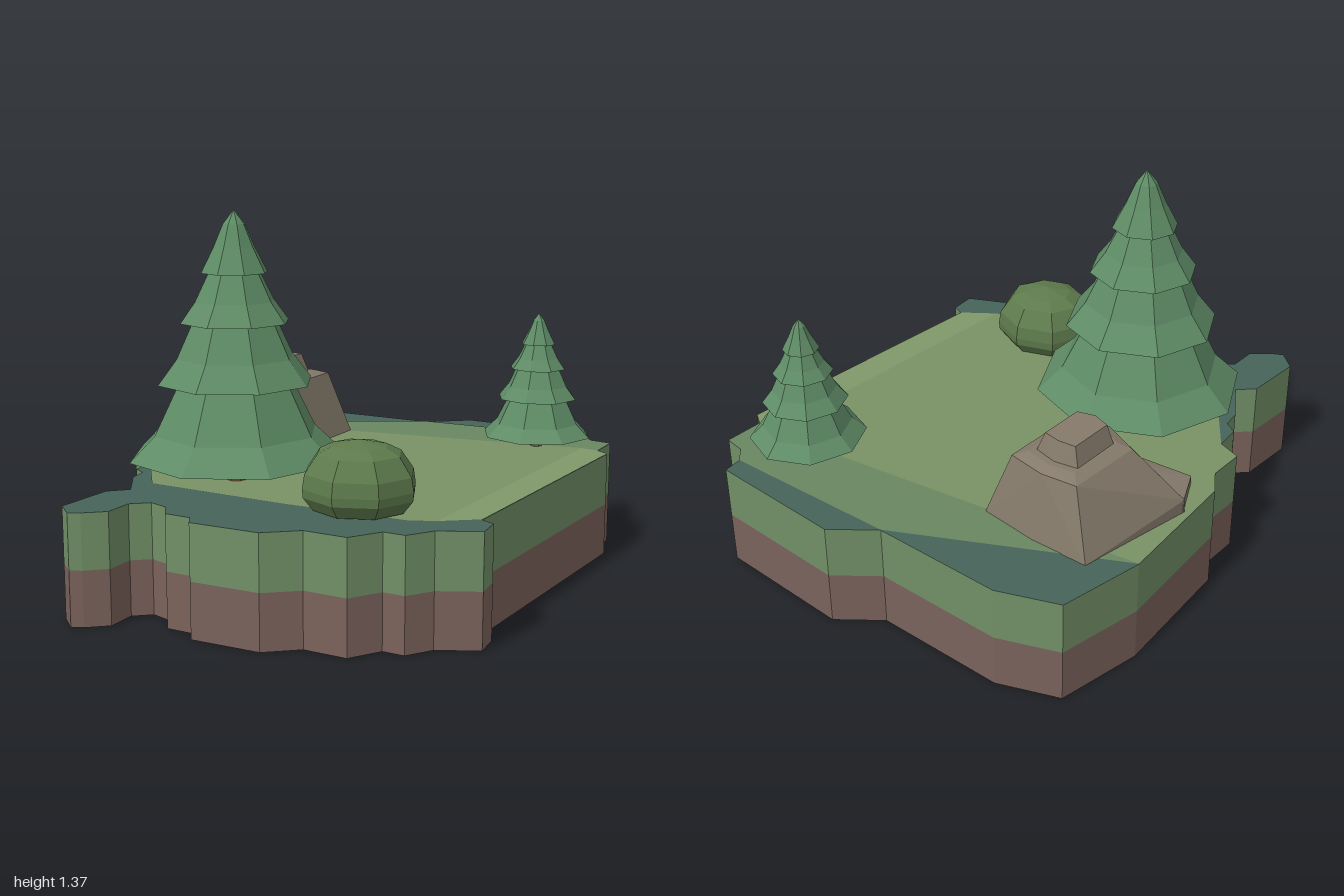
import * as THREE from 'three';
import { ConvexGeometry } from 'three/addons/geometries/ConvexGeometry.js';

const mat = (color) => new THREE.MeshStandardMaterial({ color, flatShading: true });
const soil = mat(0x7a625b), grass = mat(0x718f66), teal = mat(0x46645a);
const meadowLight = mat(0x7a9265), meadowMid = mat(0x6a8660), meadowEdge = mat(0x7f986a);
const needles = mat(0x5f8c66), bark = mat(0x80583c), leaf = mat(0x5d7a4c), stone = mat(0x857a6b);

// Flat outlines are given as [x, z] pairs seen from above
const plan = (pts) => new THREE.Shape(pts.map(([x, z]) => new THREE.Vector2(x, -z)));

const coast = [
  [-.77, -.78], [-.55, -.87], [-.05, -.88], [.1, -1], [.63, -.99], [.64, -.92], [.69, -.87], [.77, -.86],
  [.77, -.71], [.82, -.68], [.77, .41], [.82, .43], [.83, .53], [.69, .6], [.63, .69], [.55, .69],
  [.48, .8], [.32, .8], [.21, .89], [-.05, .9], [-.08, .85], [-.18, .85], [-.23, .78], [-.3, .76],
  [-.36, .81], [-.36, .92], [-.43, .98], [-.47, 1], [-.54, .94], [-.53, .71], [-.47, .65], [-.57, .5],
  [-.58, .43], [-.63, .4], [-.64, .3], [-.73, .27], [-.73, .13], [-.79, .04], [-.83, -.46],
];

function add(parent, name, geometry, material) {
  const mesh = new THREE.Mesh(geometry, material);
  mesh.name = name;
  parent.add(mesh);
  return mesh;
}

function layer(parent, name, y, materials) {
  const geo = new THREE.ExtrudeGeometry(plan(coast), { depth: .2, bevelEnabled: false });
  geo.rotateX(-Math.PI / 2);
  add(parent, name, geo, materials).position.y = y;
}

function patch(parent, name, pts, material) {
  add(parent, name, new THREE.ShapeGeometry(plan(pts)).rotateX(-Math.PI / 2), material).position.y = .402;
}

// Eight-sided solid from [radius, height] pairs, bottom to top
const turned = (pts) => new THREE.LatheGeometry(pts.map(([r, y]) => new THREE.Vector2(r, y)), 8);

function tree(name, x, z, scale) {
  const g = new THREE.Group();
  g.name = name;
  add(g, 'trunk', new THREE.CylinderGeometry(.037, .043, .2, 8), bark).position.y = .1;
  // Four drooping tiers, each with an underside running in to the tier below
  add(g, 'branches', turned([
    [0, .15], [.2, .13], [.393, .09], [.3, .18], [.19, .4],
    [.285, .36], [.215, .45], [.14, .61],
    [.2, .575], [.145, .65], [.08, .78],
    [.122, .75], [.075, .84], [.04, .92], [0, .97],
  ]), needles);
  g.rotation.y = .075;
  g.scale.setScalar(scale);
  g.position.set(x, .4, z);
  return g;
}

const hull = (rings) => new ConvexGeometry(
  rings.flatMap(([y, pts]) => pts.map(([x, z]) => new THREE.Vector3(x, y, z))));

export function createModel() {
  const model = new THREE.Group();

  // Ground slab
  layer(model, 'soilLayer', 0, soil);
  layer(model, 'grassLayer', .2, [teal, grass]);
  patch(model, 'meadow', [[-.83, -.46], [.7, -.72], [.65, .5], [.56, .54], [.1, .56], [-.45, .55],
    [-.58, .38], [-.64, .3], [-.73, .27], [-.73, .13], [-.79, .04]], meadowLight);
  patch(model, 'backMeadow', [[-.83, -.46], [-.05, -.88], [.64, -.92], [.69, -.87], [.77, -.86],
    [.77, -.71], [.7, -.72]], meadowMid);
  patch(model, 'sideMeadow', [[.7, -.72], [.77, -.71], [.82, -.68], [.77, .41], [.65, .5]], meadowEdge);

  // Trees
  model.add(tree('largeTree', -.225, .34, 1), tree('smallTree', .525, -.68, .546));

  // Bush
  const bush = add(model, 'bush', turned([[0, 0], [.165, .005], [.2, .05], [.203, .08], [.195, .13],
    [.15, .195], [.1, .22], [0, .24]]), leaf);
  bush.position.set(.355, .4, .485);
  bush.scale.z = .94;

  // Stepped boulder with a low slab in front
  const rock = new THREE.Group();
  rock.name = 'rock';
  model.add(rock);
  add(rock, 'boulder', hull([
    [.4, [[-.7, -.58], [-.475, -.59], [-.25, -.57], [-.25, -.13], [-.78, -.13]]],
    [.455, [[-.78, -.135]]],
    [.645, [[-.61, -.52], [-.475, -.54], [-.33, -.52], [-.33, -.23], [-.475, -.17], [-.62, -.23]]],
    [.66, [[-.57, -.48], [-.475, -.5], [-.37, -.48], [-.37, -.25], [-.475, -.21], [-.57, -.25]]],
  ]), stone);
  add(rock, 'boulderCap', hull([
    [.64, [[-.57, -.46], [-.475, -.48], [-.38, -.46], [-.38, -.26], [-.475, -.22], [-.57, -.26]]],
    [.73, [[-.54, -.44], [-.475, -.45], [-.41, -.44], [-.41, -.27], [-.475, -.25], [-.54, -.27]]],
  ]), stone);
  add(rock, 'frontSlab', hull([
    [.4, [[-.78, -.14], [-.25, -.14], [-.165, -.1], [-.165, -.04], [-.475, -.01], [-.7, .02]]],
    [.435, [[-.7, .02], [-.475, -.01], [-.165, -.04]]],
    [.455, [[-.78, -.14], [-.165, -.1]]],
    [.47, [[-.5, -.14], [-.25, -.14]]],
  ]), stone);

  return model;
}
